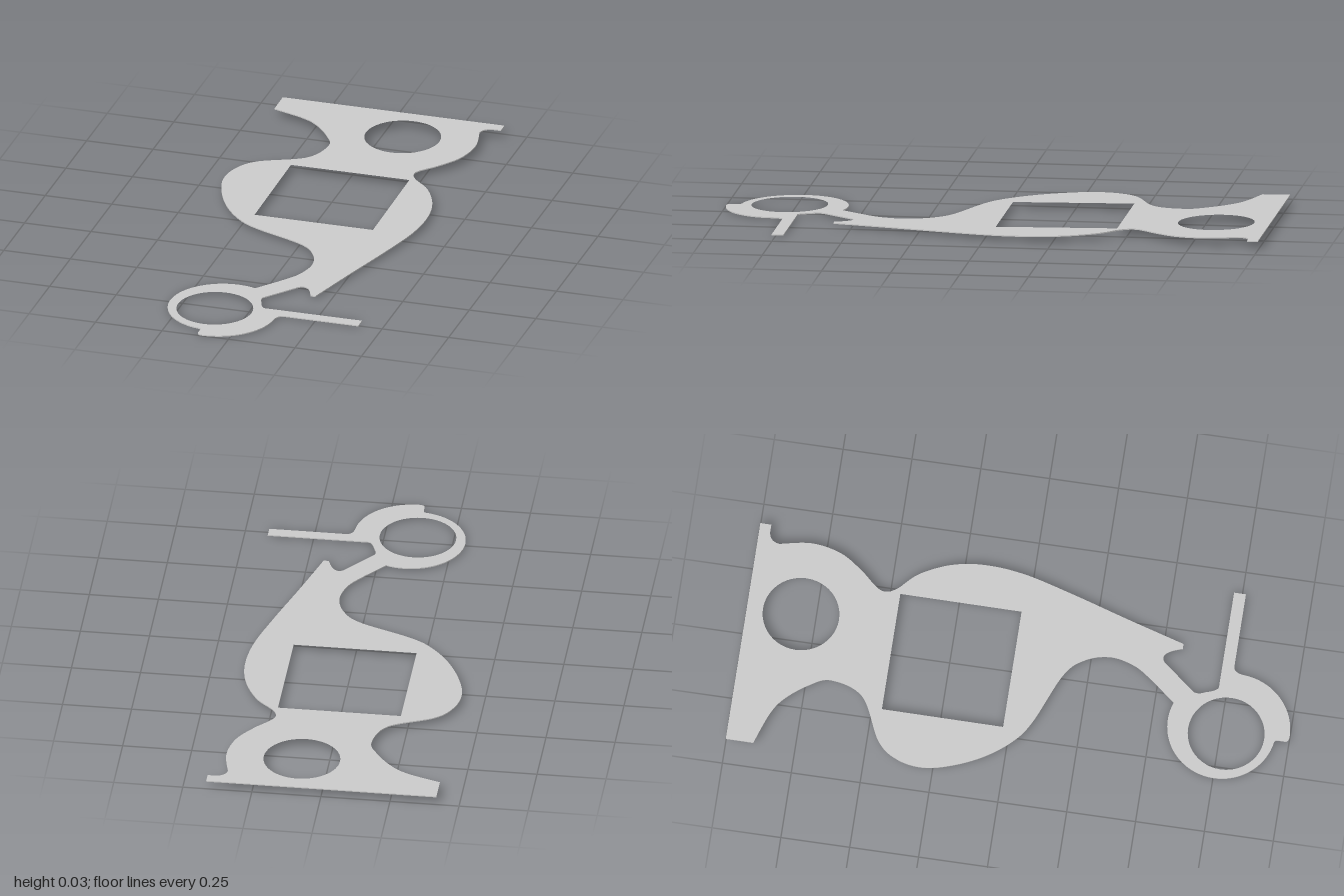
import * as THREE from 'three';

const THICKNESS = 0.004;
const SLOPE = 0.015; // the plate rises gently towards the back

// plan coordinates are (x, z); the shape is drawn with z flipped
const P = ([x, z]) => new THREE.Vector2(x, -z);

// flowing sides of the body, as a few points on a smooth curve
const rightSide = [[0.347, -0.92], [0.367, -0.807], [0.347, -0.7], [0.294, -0.616], [0.237, -0.55],
  [0.226, -0.513], [0.246, -0.474], [0.31, -0.408], [0.362, -0.3], [0.381, -0.18], [0.368, -0.034],
  [0.32, 0.146], [0.257, 0.352], [0.193, 0.57]];
const leftSide = [[0.034, 0.484], [0.082, 0.412], [0.103, 0.32], [0.077, 0.23], [0.008, 0.161],
  [-0.183, 0.08], [-0.267, 0.022], [-0.341, -0.071], [-0.394, -0.183], [-0.418, -0.288],
  [-0.4, -0.384], [-0.341, -0.458], [-0.183, -0.54], [-0.139, -0.659], [-0.172, -0.738],
  [-0.235, -0.815], [-0.3, -0.858], [-0.418, -0.9]];

function roundHole(x, z, radius) {
  const hole = new THREE.Path();
  hole.absarc(x, -z, radius, 0, Math.PI * 2, true);
  return hole;
}

function rectHole(x0, x1, z0, z1) {
  return new THREE.Path([[x0, z0], [x1, z0], [x1, z1], [x0, z1]].map(P));
}

function plateOutline() {
  const shape = new THREE.Shape();
  const line = (x, z) => shape.lineTo(x, -z);
  const bend = (cx, cz, x, z) => shape.quadraticCurveTo(cx, -cz, x, -z);

  // straight back edge with a small tip and notch on the right
  shape.moveTo(-0.418, 1);
  line(0.415, -1);
  line(0.415, -0.96);
  line(0.385, -0.96);
  bend(0.35, -0.955, 0.347, -0.92);

  // right side down to the pointed spur
  shape.splineThru(rightSide.slice(1).map(P));
  line(0.174, 0.57);
  bend(0.155, 0.506, 0.13, 0.506);
  bend(0.118, 0.506, 0.108, 0.52);

  // neck and straight side arm
  line(0.018, 0.632);
  bend(0.01, 0.65, 0.022, 0.672);
  bend(0.036, 0.72, 0.05, 0.72);
  line(0.415, 0.72);
  line(0.415, 0.763);
  line(0.135, 0.763);
  bend(0.11, 0.765, 0.108, 0.812);

  // toe, then the outside of the ring
  shape.absarc(-0.1, -0.79, 0.209, -0.106, -1.537, true);
  bend(-0.119, 1, -0.119, 0.985);
  line(-0.119, 0.96);
  bend(-0.119, 0.946, -0.135, 0.946);
  shape.absarc(-0.1, -0.753, 0.196, -1.75, 1.226, true);

  // left side: neck, wide belly, waist, flare to the back edge
  line(0.034, 0.484);
  shape.splineThru(leftSide.slice(1).map(P));
  shape.closePath();
  return shape;
}

export function createModel() {
  const group = new THREE.Group();
  group.name = 'flatPlate';

  // back round window, square window, front ring opening
  const outline = plateOutline();
  outline.holes.push(
    roundHole(0.094, -0.804, 0.138),
    rectHole(-0.22, 0.225, -0.463, -0.023),
    roundHole(-0.122, 0.772, 0.138),
  );

  const geometry = new THREE.ExtrudeGeometry(outline, {
    depth: THICKNESS, bevelEnabled: false, curveSegments: 24,
  });
  geometry.rotateX(-Math.PI / 2);

  // tilt the plate, keeping its front end on the ground
  const pos = geometry.attributes.position;
  for (let i = 0; i < pos.count; i++) {
    pos.setY(i, pos.getY(i) + SLOPE * (1 - pos.getZ(i)));
  }
  geometry.computeVertexNormals();

  const plate = new THREE.Mesh(geometry, new THREE.MeshStandardMaterial({ color: 0xcccccc }));
  plate.name = 'plate';
  group.add(plate);
  return group;
}
